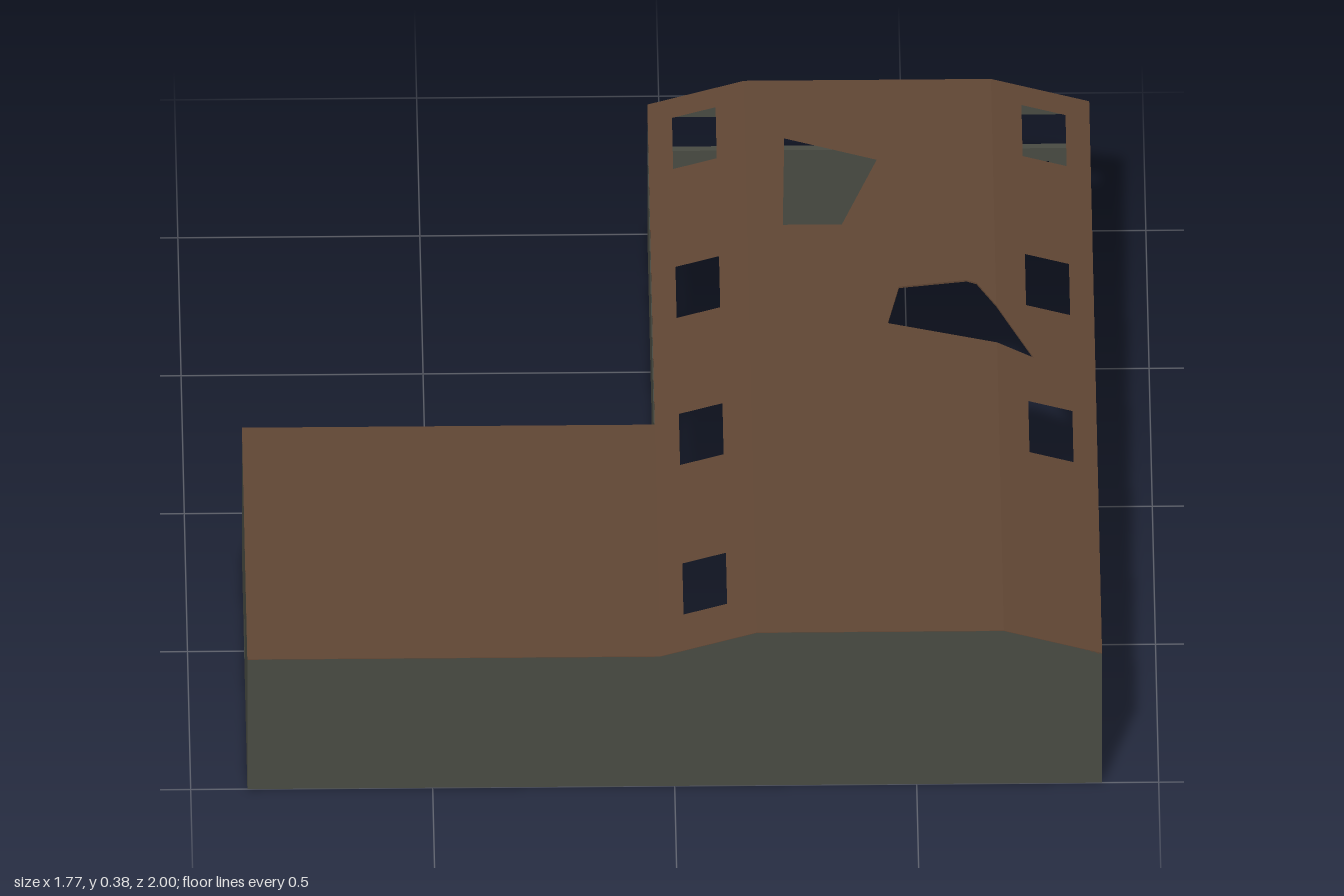
import * as THREE from 'three';

const wallMat = new THREE.MeshStandardMaterial({ color: 0x484a42 });
wallMat.name = 'dark grey wall';
const roofMat = new THREE.MeshStandardMaterial({ color: 0x604634 });
roofMat.name = 'brown roof';

const W = 0.883, IN = -0.03, STEP = 0.16; // half width, inner wall x, inner wall z
const EAVE = 0.325, RIDGE = 0.383, T = 0.016, ROOF = 0.004;
const R1 = 0.17, R2 = 0.68; // edges of the raised flat top

// Roof height across the width
function roofY(x) {
  if (x <= IN) return EAVE;
  if (x < R1) return EAVE + (RIDGE - EAVE) * (x - IN) / (R1 - IN);
  if (x <= R2) return RIDGE;
  return RIDGE + (EAVE - RIDGE) * (x - R2) / (W - R2);
}

const toShape = (pts) => new THREE.Shape(pts.map(([a, b]) => new THREE.Vector2(a, b)));
const rect = (a0, b0, a1, b1) => [[a0, b0], [a1, b0], [a1, b1], [a0, b1]];

function extrude(outline, holes, depth) {
  const shape = toShape(outline);
  shape.holes = holes.map(toShape);
  return new THREE.ExtrudeGeometry(shape, { depth, bevelEnabled: false });
}

function addMesh(group, name, geometry, material) {
  const mesh = new THREE.Mesh(geometry, material);
  mesh.name = name;
  group.add(mesh);
  return mesh;
}

// Wall outline: doors are [from, to, height] notches, top is a list of points from right to left
function wallGeometry(a, b, top, doors, windows) {
  const pts = [[a, 0]];
  for (const [d0, d1, h] of doors) pts.push([d0, 0], [d0, h], [d1, h], [d1, 0]);
  pts.push([b, 0], ...top);
  return extrude(pts, windows.map((w) => rect(...w)), T);
}

// Wall running along x, occupying z to z + T
function wallX(group, name, z, x0, x1, top, doors = [], windows = []) {
  const g = wallGeometry(x0, x1, top, doors, windows);
  g.translate(0, 0, z);
  addMesh(group, name, g, wallMat);
}

// Wall running along z, occupying x to x + T; openings are given in z
function wallZ(group, name, x, z0, z1, h, doors = [], windows = []) {
  const flipped = windows.map(([a, y0, b, y1]) => [-b, y0, -a, y1]);
  const gaps = doors.map(([a, b, y]) => [-b, -a, y]).reverse();
  const g = wallGeometry(-z1, -z0, [[-z0, h], [-z1, h]], gaps, flipped);
  g.rotateY(Math.PI / 2);
  g.translate(x, 0, 0);
  addMesh(group, name, g, wallMat);
}

// Roof panel from a plan outline in (x, z), lifted onto the roof profile
function roofPanel(group, name, outline, holes = []) {
  const flip = (pts) => pts.map(([x, z]) => [x, -z]);
  const g = extrude(flip(outline), holes.map(flip), ROOF);
  g.rotateX(-Math.PI / 2);
  const p = g.attributes.position;
  for (let i = 0; i < p.count; i++) p.setY(i, p.getY(i) + roofY(p.getX(i)) - ROOF + 0.001);
  g.computeVertexNormals();
  addMesh(group, name, g, roofMat);
}

export function createModel() {
  const model = new THREE.Group();
  model.name = 'building';

  // Outer walls
  const walls = new THREE.Group();
  walls.name = 'outerWalls';
  model.add(walls);
  const gable = [[W, EAVE], [R2, RIDGE], [R1, RIDGE], [IN, EAVE]];
  wallX(walls, 'frontWall', 1 - T, -W, W, [...gable, [-W, EAVE]]);
  wallX(walls, 'backWall', -1, IN, W, gable, [[0.44, 0.80, 0.187]],
    [[-0.005, 0.22, 0.86, 0.305], [0.013, 0.04, 0.10, 0.13]]);
  wallZ(walls, 'leftWall', W - T, -1, 1, EAVE - ROOF, [], [[-0.98, 0.22, 0.46, 0.305]]);
  wallZ(walls, 'innerSideWall', IN, -1, STEP + T, EAVE - ROOF, [[-0.85, -0.81, 0.095]],
    [[-0.98, 0.22, 0.14, 0.305], [-0.135, 0.05, -0.05, 0.145]]);
  wallX(walls, 'innerBackWall', STEP, -W, IN, [[IN, EAVE - ROOF], [-W, EAVE - ROOF]],
    [[-0.84, -0.66, 0.187], [-0.577, -0.406, 0.187], [-0.32, -0.14, 0.187]]);
  wallZ(walls, 'rightWall', -W, STEP, 1, EAVE - ROOF, [], [[0.557, 0.05, 0.643, 0.15]]);

  // Low room inside, against the left wall
  const room = new THREE.Group();
  room.name = 'innerRoom';
  model.add(room);
  const roomH = 0.19;
  const flat = [[W - T, roomH], [0.59, roomH]];
  wallX(room, 'roomFrontWall', 0.70, 0.59, W - T, flat);
  wallX(room, 'roomBackWall', 0.215, 0.59, W - T, flat, [], [[0.63, 0.05, 0.74, 0.145]]);
  wallZ(room, 'roomSideWall', 0.59, 0.215, 0.716, roomH, [], [[0.39, 0.06, 0.53, 0.15]]);

  // Roof panels with skylights and two broken holes
  const roof = new THREE.Group();
  roof.name = 'roof';
  model.add(roof);
  const skylights = (x0, x1, starts) => starts.map((z) => rect(x0, z, x1, z + 0.185));
  roofPanel(roof, 'flatRoof', rect(-W, STEP, IN, 1));
  roofPanel(roof, 'rightSlope', rect(IN, -1, R1, 1),
    skylights(0.02, 0.11, [-0.93, -0.39, 0.143, 0.685]));
  roofPanel(roof, 'raisedRoof',
    [[R1, -1], [R2, -1], [R2, -0.18], [0.64, -0.262], [0.62, -0.272], [0.48, -0.25],
      [0.455, -0.118], [R2, -0.045], [R2, 1], [R1, 1]],
    [[[0.25, -0.79], [0.44, -0.71], [0.365, -0.477], [0.243, -0.477]]]);
  roofPanel(roof, 'leftSlope',
    [[R2, -1], [W, -1], [W, 1], [R2, 1], [R2, -0.045], [0.755, -0.02], [R2, -0.18]],
    skylights(0.742, 0.833, [-0.93, -0.39, 0.143]));

  return model;
}
